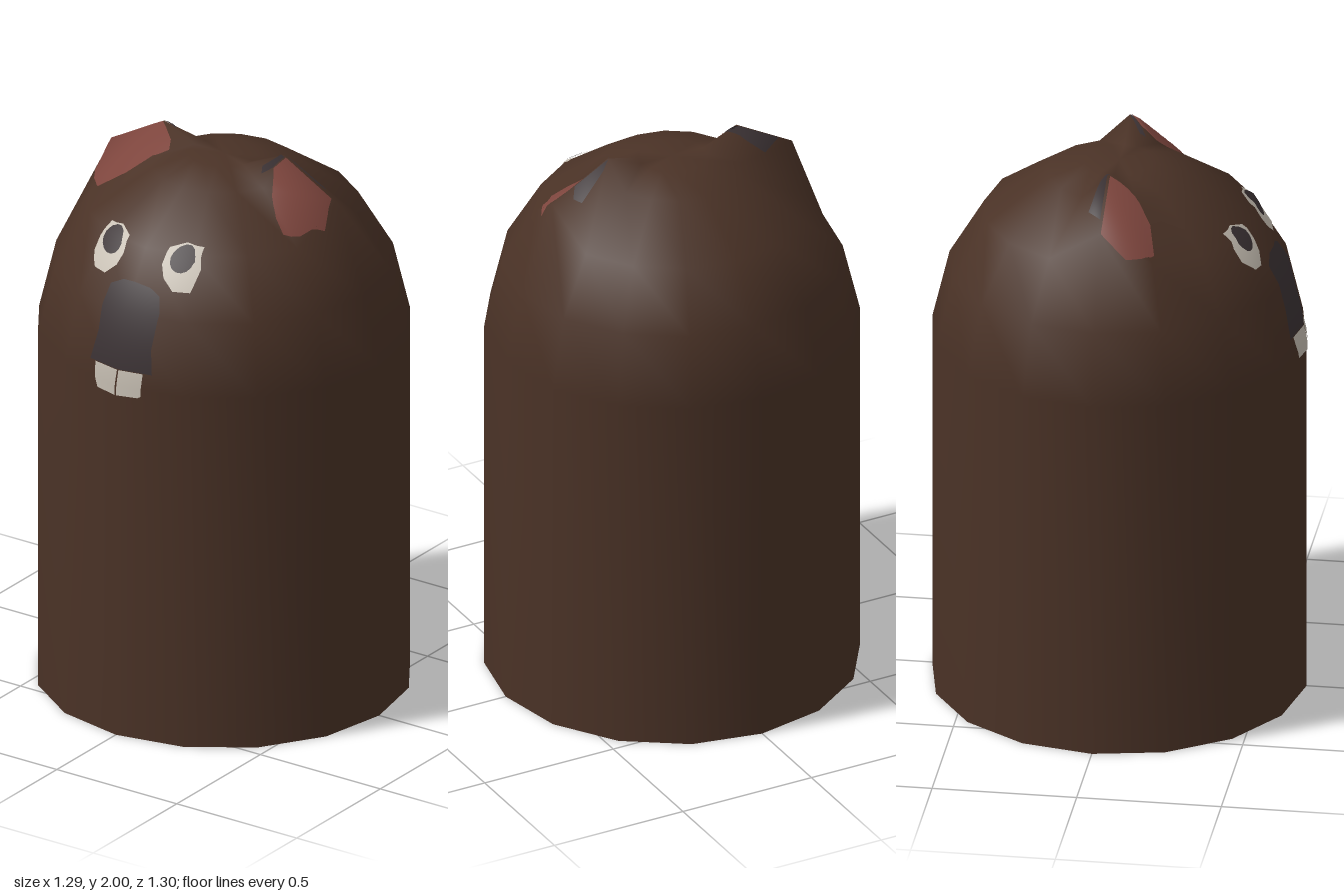
import * as THREE from 'three';
import { mergeVertices } from 'three/addons/utils/BufferGeometryUtils.js';

const material = (name, color, side = THREE.FrontSide) =>
  Object.assign(new THREE.MeshStandardMaterial({ color, side }), { name });

// Sixteen-sided open shell; the vertices on the x axis are lifted into ears
function bodyGeometry() {
  const profile = [[0.647, 0], [0.647, 1.31], [0.587, 1.56], [0.467, 1.76], [0.25, 1.905], [0.12, 1.945], [0, 1.945]];
  let geo = new THREE.LatheGeometry(profile.map(p => new THREE.Vector2(...p)), 16, Math.PI);
  geo.deleteAttribute('uv');
  geo.deleteAttribute('normal');
  const pos = geo.attributes.position;
  for (let i = 0; i < pos.count; i++) {
    if (Math.abs(pos.getZ(i)) > 0.001) continue;
    const x = Math.abs(pos.getX(i));
    if (Math.abs(x - 0.467) < 0.01) pos.setY(i, 1.88);
    if (Math.abs(x - 0.25) < 0.01) pos.setY(i, 2.0);
  }
  geo = mergeVertices(geo, 1e-4);
  geo.computeVertexNormals();
  return geo;
}

// Painted patch: a flat outline laid onto the body from the front or from above
function patchGeometry(body, outline, fromTop, lift) {
  let pts = outline.map(([a, b]) => new THREE.Vector2(a, fromTop ? -b : b));
  if (THREE.ShapeUtils.area(pts) < 0) pts.reverse();
  const rim = [];
  pts.forEach((p, i) => {
    const q = pts[(i + 1) % pts.length];
    const steps = Math.max(1, Math.ceil(p.distanceTo(q) / 0.015));
    for (let s = 0; s < steps; s++) rim.push(p.clone().lerp(q, s / steps));
  });
  const centre = new THREE.Vector2();
  pts.forEach(p => centre.addScaledVector(p, 1 / pts.length));

  const rings = 10, n = rim.length, positions = [], normals = [], index = [];
  const ray = new THREE.Raycaster();
  for (let r = 0; r <= rings; r++) {
    for (const p of rim) {
      const c = centre.clone().lerp(p, r / rings);
      if (fromTop) ray.set(new THREE.Vector3(c.x, 3, -c.y), new THREE.Vector3(0, -1, 0));
      else ray.set(new THREE.Vector3(c.x + 1e-5, c.y, 3), new THREE.Vector3(0, 0, -1));
      const hit = ray.intersectObject(body)[0];
      const point = hit.point.clone().addScaledVector(hit.face.normal, lift);
      positions.push(point.x, point.y, point.z);
      normals.push(...hit.normal.toArray());
    }
  }
  for (let r = 0; r < rings; r++) {
    for (let i = 0; i < n; i++) {
      const a = r * n + i, b = r * n + (i + 1) % n;
      if (r > 0) index.push(a, b + n, b);
      index.push(a, a + n, b + n);
    }
  }
  const geo = new THREE.BufferGeometry();
  geo.setAttribute('position', new THREE.Float32BufferAttribute(positions, 3));
  geo.setAttribute('normal', new THREE.Float32BufferAttribute(normals, 3));
  geo.setIndex(index);
  return geo;
}

const oval = (x, y, rx, ry) => Array.from({ length: 14 }, (_, i) => {
  const t = i / 14 * Math.PI * 2;
  return [x + rx * Math.cos(t), y + ry * Math.sin(t)];
});

export function createModel() {
  const group = new THREE.Group();
  group.name = 'animal';
  const brown = material('brown fur', 0x4a3226, THREE.DoubleSide);
  const pink = material('inner ear pink', 0x7d453d);
  const dark = material('charcoal', 0x3b3234);
  const white = material('off white', 0xc8c0b4);

  const body = new THREE.Mesh(bodyGeometry(), brown);
  body.name = 'body';
  body.updateMatrixWorld();
  group.add(body);

  const paint = (name, mat, outline, { top = false, lift = 0.004 } = {}) => {
    const mesh = new THREE.Mesh(patchGeometry(body, outline, top, lift), mat);
    mesh.name = name;
    group.add(mesh);
  };

  // Inner ears
  const top = { top: true };
  paint('rightInnerEar', pink, [[-0.465, 0.002], [-0.25, 0.002], [-0.2, 0.03], [-0.19, 0.055], [-0.24, 0.105],
    [-0.3, 0.15], [-0.4, 0.178], [-0.44, 0.14], [-0.47, 0.09]], top);
  paint('leftInnerEar', pink, [[0.26, 0.002], [0.45, 0.002], [0.467, 0.07], [0.42, 0.145], [0.37, 0.178],
    [0.32, 0.15], [0.27, 0.1], [0.237, 0.04]], top);

  // Dark patches behind the ears
  paint('rightEarBack', dark, [[-0.41, -0.003], [-0.33, -0.055], [-0.26, -0.035], [-0.2, -0.003]], top);
  paint('leftEarBack', dark, [[0.25, -0.003], [0.28, -0.022], [0.38, -0.055], [0.4, -0.03], [0.38, -0.003]], top);
  paint('leftEarInnerEdge', dark, [[0.2, 0.06], [0.19, 0.04], [0.24, 0.003], [0.255, 0.003], [0.232, 0.04]], top);

  // Eyes
  paint('rightEye', white, [[-0.088, 1.77], [-0.085, 1.72], [-0.1, 1.68], [-0.14, 1.645], [-0.19, 1.65],
    [-0.22, 1.69], [-0.215, 1.735], [-0.195, 1.78], [-0.14, 1.787]]);
  paint('leftEye', white, [[0.08, 1.77], [0.13, 1.787], [0.19, 1.78], [0.21, 1.72], [0.203, 1.65],
    [0.14, 1.645], [0.095, 1.68], [0.075, 1.72]]);
  paint('rightPupil', dark, oval(-0.147, 1.742, 0.043, 0.04), { lift: 0.007 });
  paint('leftPupil', dark, oval(0.142, 1.742, 0.043, 0.04), { lift: 0.007 });

  // Nose and teeth
  paint('nose', dark, [[-0.1, 1.625], [-0.05, 1.65], [0, 1.655], [0.06, 1.645], [0.1, 1.625], [0.12, 1.57],
    [0.11, 1.45], [0.125, 1.366], [-0.13, 1.366], [-0.11, 1.47], [-0.11, 1.55]]);
  paint('rightTooth', white, [[-0.105, 1.364], [-0.001, 1.364], [-0.003, 1.275], [-0.085, 1.278], [-0.1, 1.32]]);
  paint('leftTooth', white, [[0.003, 1.364], [0.092, 1.364], [0.092, 1.285], [0.08, 1.278], [0.003, 1.275]]);
  return group;
}
